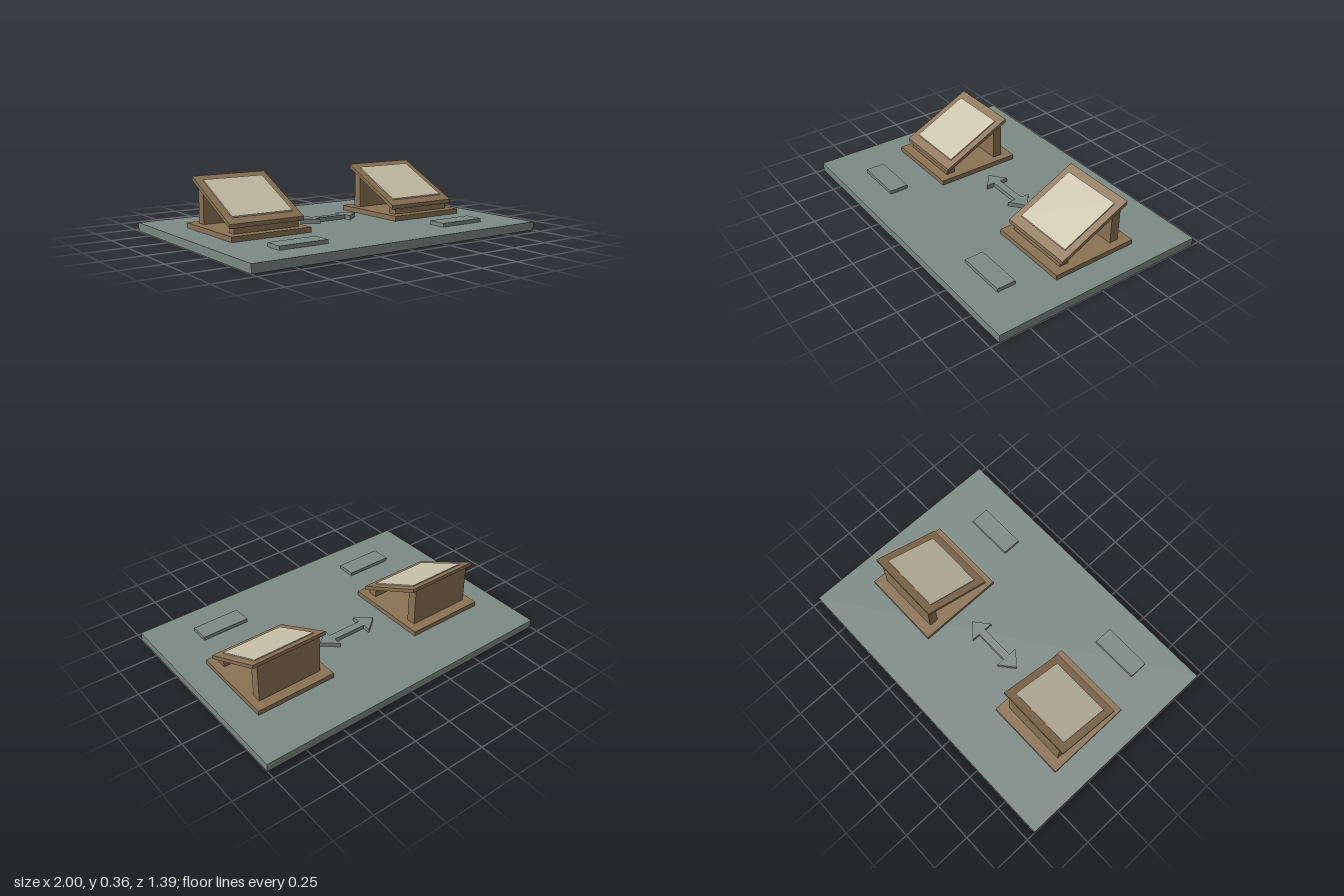
import * as THREE from 'three';

const material = (name, color) => new THREE.MeshStandardMaterial({ name, color });

export function createModel() {
  const stone = material('grey green slab', 0x7d8a85);
  const wood = material('brown wood', 0x8b7355);
  const cream = material('cream sheet', 0xc8c0a8);
  const model = new THREE.Group();
  model.name = 'displayBoard';

  const add = (parent, name, geometry, mat) => {
    const mesh = new THREE.Mesh(geometry, mat);
    mesh.name = name;
    parent.add(mesh);
    return mesh;
  };

  // Box given by its width, vertical range and depth range
  const box = (parent, name, mat, width, y0, y1, z0, z1, x = 0) => {
    const mesh = add(parent, name, new THREE.BoxGeometry(width, y1 - y0, z1 - z0), mat);
    mesh.position.set(x, (y0 + y1) / 2, (z0 + z1) / 2);
  };

  // Side profile of [z, y] points, extruded across the width
  const profile = (parent, name, mat, width, points) => {
    const shape = new THREE.Shape(points.map(([z, y]) => new THREE.Vector2(z, y)));
    const geometry = new THREE.ExtrudeGeometry(shape, { depth: width, bevelEnabled: false });
    geometry.translate(0, 0, -width / 2).rotateY(-Math.PI / 2);
    add(parent, name, geometry, mat);
  };

  // Underside and top of the sloping desk at depth z
  const under = (z) => 0.117 + (0.138 - z) * 0.493;
  const top = (z) => under(z) + 0.025;

  // Ground slab
  box(model, 'slab', stone, 2, 0, 0.052, -0.694, 0.694);

  // Two lecterns, each with a small plaque in front
  for (const side of [-1, 1]) {
    const stand = new THREE.Group();
    stand.name = side > 0 ? 'leftStand' : 'rightStand';
    stand.position.x = side * 0.573;
    model.add(stand);

    box(stand, 'standBase', wood, 0.52, 0.052, 0.083, -0.365, 0.19);

    // Supports cut to the slope
    for (const [name, z0, z1] of [['frontSupport', 0.07, 0.128], ['backSupport', -0.3, -0.24]]) {
      profile(stand, name, wood, 0.42, [[z0, 0.083], [z1, 0.083], [z1, under(z1)], [z0, under(z0)]]);
    }

    // Sloping desk and the thin sheet lying on it
    const [back, front] = [-0.312, 0.138];
    profile(stand, 'deskPanel', wood, 0.486,
      [[back, under(back)], [front, under(front)], [front, top(front)], [back, top(back)]]);
    const [s0, s1] = [-0.26, 0.086];
    profile(stand, 'sheet', cream, 0.396,
      [[s0, top(s0)], [s1, top(s1)], [s1, top(s1) + 0.008], [s0, top(s0) + 0.008]]);

    box(stand, 'plaque', stone, 0.31, 0.052, 0.075, 0.39, 0.51);
  }

  // Double-headed arrow between the lecterns
  const half = [[0.112, -0.024], [0.112, -0.078], [0.207, 0], [0.112, 0.078], [0.112, 0.024]];
  const outline = [...half, ...half.map(([x, y]) => [-x, -y])];
  const arrow = new THREE.ExtrudeGeometry(
    new THREE.Shape(outline.map(([x, y]) => new THREE.Vector2(x, y))),
    { depth: 0.027, bevelEnabled: false });
  arrow.rotateX(-Math.PI / 2);
  add(model, 'doubleArrow', arrow, stone).position.set(0, 0.052, -0.09);

  return model;
}
